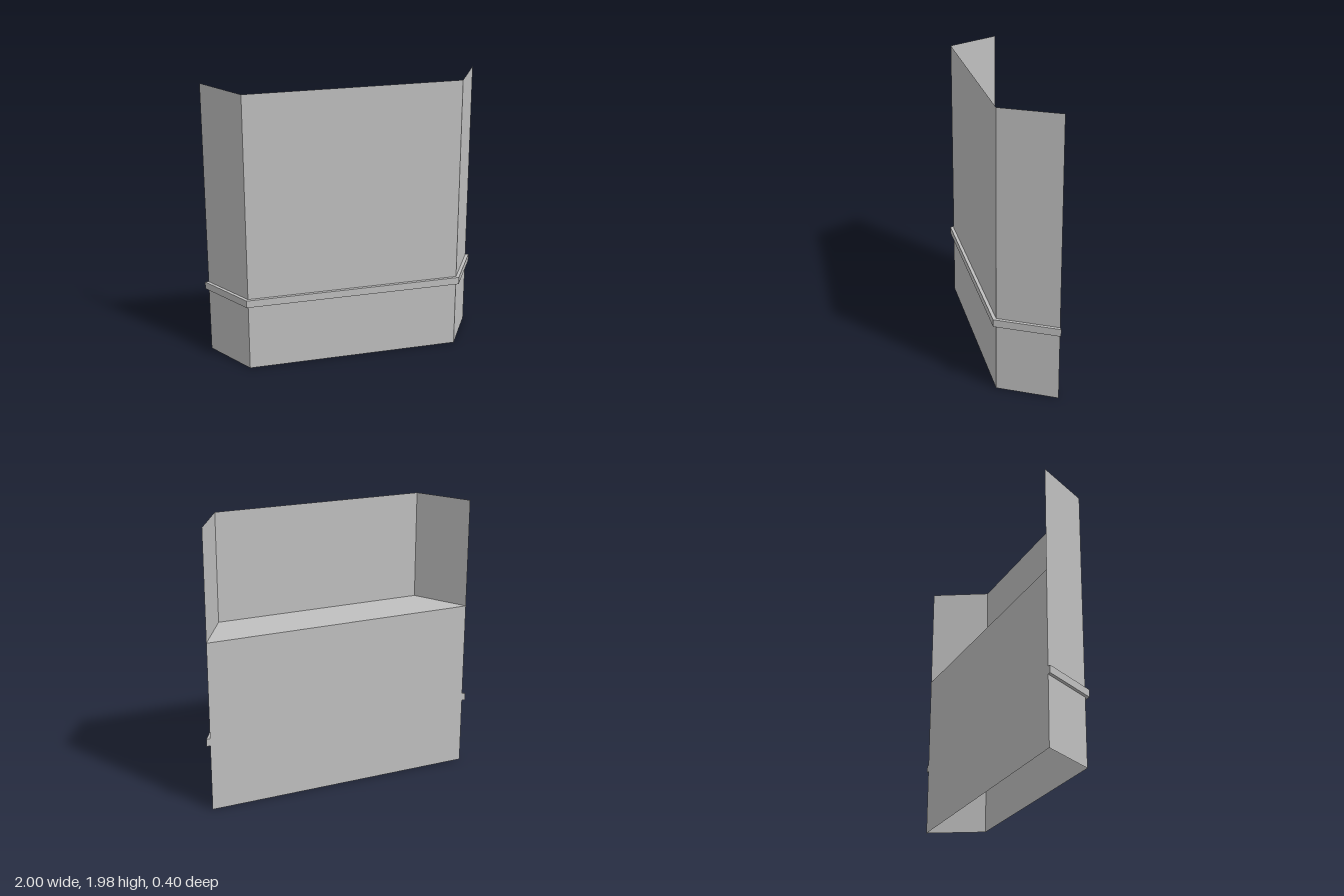
import * as THREE from 'three';

const HEIGHT = 1.975, DECK_Y = 1.207, BACK_Z = -0.2;

// Plan outlines [x, z], from the left rear corner round the front to the right rear corner
const WALL = [[-0.974, BACK_Z], [-0.76, 0.177], [0.76, 0.177], [0.974, BACK_Z]];
const RAIL = [[-1, BACK_Z], [-0.774, 0.2], [0.774, 0.2], [1, BACK_Z]];

// Flat upright sheet between two plan points
function sheet([x0, z0], [x1, z1], height) {
  const g = new THREE.PlaneGeometry(Math.hypot(x1 - x0, z1 - z0), height);
  g.rotateY(-Math.atan2(z1 - z0, x1 - x0));
  g.translate((x0 + x1) / 2, height / 2, (z0 + z1) / 2);
  return g;
}

// Plan outline as a shape; laid flat, shape y becomes -z
function planShape(points) {
  return new THREE.Shape(points.map(([x, z]) => new THREE.Vector2(x, -z)));
}

export function createModel() {
  const model = new THREE.Group();
  model.name = 'counter';
  const grey = new THREE.MeshStandardMaterial({ color: 0xc0c0c0, side: THREE.DoubleSide });
  grey.name = 'grey';

  const add = (name, geometry) => {
    const mesh = new THREE.Mesh(geometry, grey);
    mesh.name = name;
    model.add(mesh);
  };

  // Tall thin walls: two angled sides and the front
  ['rightWall', 'frontWall', 'leftWall'].forEach((name, i) =>
    add(name, sheet(WALL[i], WALL[i + 1], HEIGHT)));

  // Lower rear panel, up to the worktop; the bottom stays open
  add('backPanel', sheet(WALL[3], WALL[0], DECK_Y));

  // Worktop set inside the walls
  const top = new THREE.ShapeGeometry(planShape(WALL));
  top.rotateX(-Math.PI / 2).translate(0, DECK_Y, 0);
  add('worktop', top);

  // Square trim rail wrapping the outside of the walls
  const rail = new THREE.ExtrudeGeometry(planShape([...RAIL, ...[...WALL].reverse()]),
    { depth: 0.052, bevelEnabled: false });
  rail.rotateX(-Math.PI / 2).translate(0, 0.477, 0);
  add('trimRail', rail);

  return model;
}
